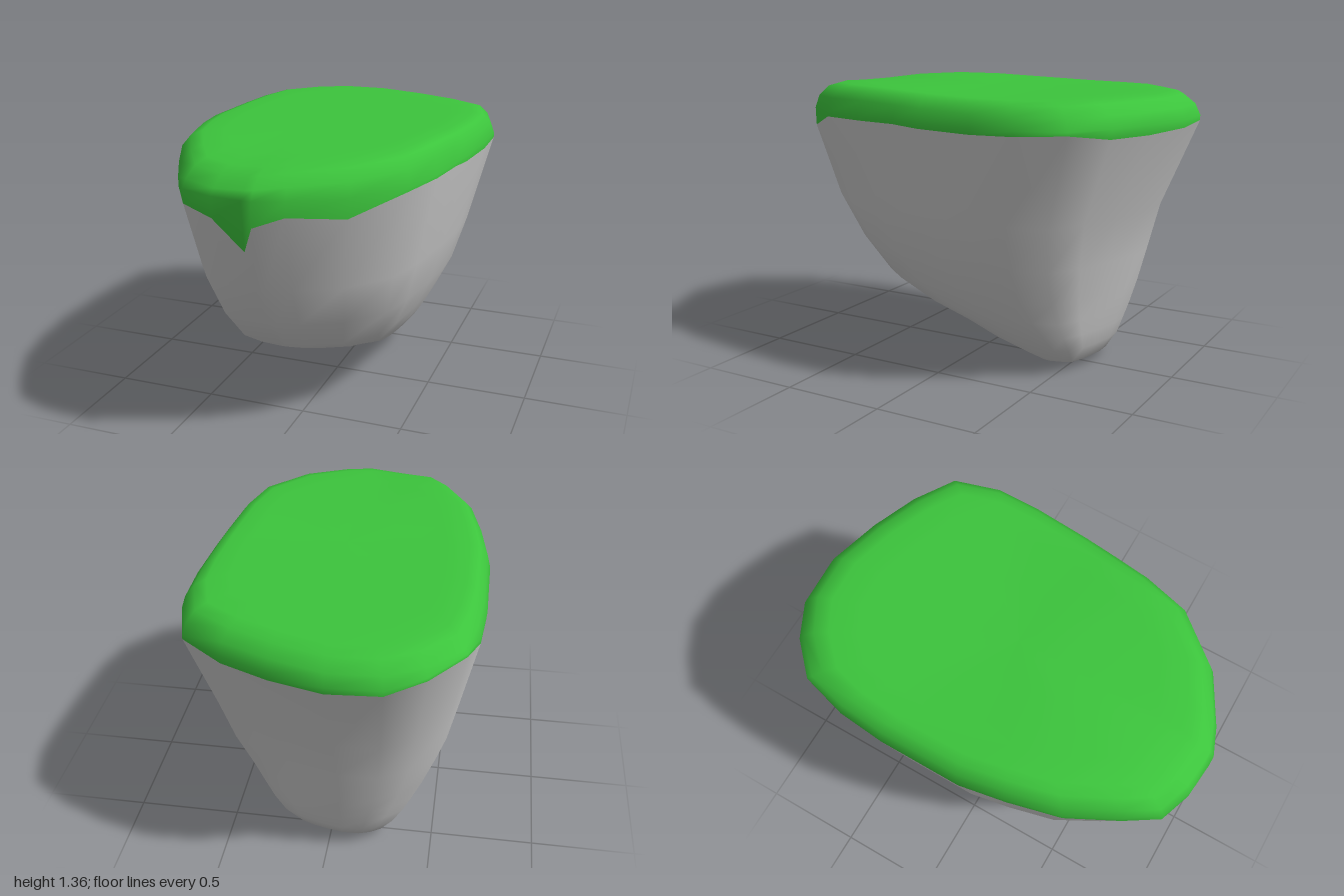
import * as THREE from 'three';

// Plan outline, clockwise from the back: x, z, height of the turf's lower edge
const outline = [
  [-0.05, -1, 1.19], [0.2, -0.93, 1.18], [0.42, -0.84, 1.18], [0.61, -0.72, 1.21],
  [0.675, -0.5, 1.2], [0.675, -0.28, 1.195], [0.65, 0, 1.2], [0.63, 0.15, 1.21],
  [0.6, 0.36, 1.21], [0.54, 0.59, 1.21], [0.35, 0.82, 1.135], [0.12, 0.95, 1.155],
  [-0.01, 1, 1.11], [-0.055, 1, 0.99], [-0.2, 0.985, 1.13], [-0.36, 0.93, 1.16],
  [-0.46, 0.78, 1.18], [-0.58, 0.55, 1.19], [-0.64, 0.3, 1.18], [-0.68, 0.07, 1.17],
  [-0.68, -0.33, 1.18], [-0.66, -0.55, 1.2], [-0.61, -0.75, 1.26], [-0.46, -0.9, 1.23],
  [-0.29, -0.99, 1.2],
];

// Extents of the rock at each height: y, xMin, xMax, zMin, zMax
const levels = [
  [1.2, -0.68, 0.68, -1, 1], [1.12, -0.67, 0.665, -0.96, 1],
  [0.98, -0.645, 0.625, -0.885, 0.965], [0.78, -0.605, 0.58, -0.825, 0.87],
  [0.56, -0.557, 0.51, -0.77, 0.74], [0.39, -0.49, 0.425, -0.73, 0.6],
  [0.28, -0.435, 0.365, -0.7, 0.38], [0.2, -0.39, 0.315, -0.675, 0.15],
  [0.12, -0.335, 0.255, -0.65, -0.02], [0.04, -0.27, 0.17, -0.6, -0.21],
  [0, -0.06, 0.09, -0.43, -0.32],
];

// Fits an outline point into the rock's extents at height y
function fit([px, pz], y) {
  let i = 0;
  while (i < levels.length - 2 && levels[i + 1][0] > y) i++;
  const a = levels[i], b = levels[i + 1];
  const t = THREE.MathUtils.clamp((a[0] - y) / (a[0] - b[0]), 0, 1);
  const [, x0, x1, z0, z1] = a.map((v, k) => v + (b[k] - v) * t);
  return [(x0 + x1) / 2 + (px / 0.68) * (x1 - x0) / 2, y, (z0 + z1) / 2 + pz * (z1 - z0) / 2];
}

// Skins a stack of closed loops, listed from top to bottom
function skin(loops) {
  const n = outline.length, index = [];
  for (let r = 0; r < loops.length - 1; r++) {
    for (let i = 0; i < n; i++) {
      const a = r * n + i, b = r * n + (i + 1) % n;
      index.push(a, b, b + n, a, b + n, a + n);
    }
  }
  const geometry = new THREE.BufferGeometry();
  geometry.setAttribute('position', new THREE.Float32BufferAttribute(loops.flat(2), 3));
  geometry.setIndex(index);
  geometry.computeVertexNormals();
  return geometry;
}

function addPart(group, name, loops, color) {
  const mesh = new THREE.Mesh(skin(loops), new THREE.MeshStandardMaterial({ color, side: THREE.DoubleSide }));
  mesh.name = name;
  group.add(mesh);
}

export function createModel() {
  const group = new THREE.Group();
  group.name = 'floatingIsland';
  const lowerEdge = outline.map((p) => fit(p, p[2]));

  // Tapered rock, closed at its lowest point
  const rock = [lowerEdge];
  for (const [y] of levels.slice(3)) rock.push(outline.map((p) => fit(p, y)));
  rock.push(outline.map(() => [0.02, 0, -0.38]));
  addPart(group, 'rock', rock, 0xcccccc);

  // Grass cap: gently uneven top, rounded shoulder, ragged lower edge
  const rings = [[0, 1.34], [0.35, 1.34], [0.7, 1.34], [0.85, 1.34], [0.92, 1.325], [0.975, 1.28]];
  const turf = rings.map(([s, y]) => outline.map(([x, z]) => {
    const swell = 0.022 * Math.exp(-(((z * s - 0.4) / 0.4) ** 2));
    const dip = 0.03 * Math.exp(-(((x * s + 0.2) / 0.25) ** 2) - ((z * s - 0.95) / 0.2) ** 2);
    return [x * s, y + swell - dip, z * s];
  }));
  turf.push(outline.map(([x, z, edge]) => [x, Math.max(1.225, edge + 0.015), z]));
  turf.push(lowerEdge);
  addPart(group, 'grassTop', turf, 0x3cc43c);
  return group;
}
